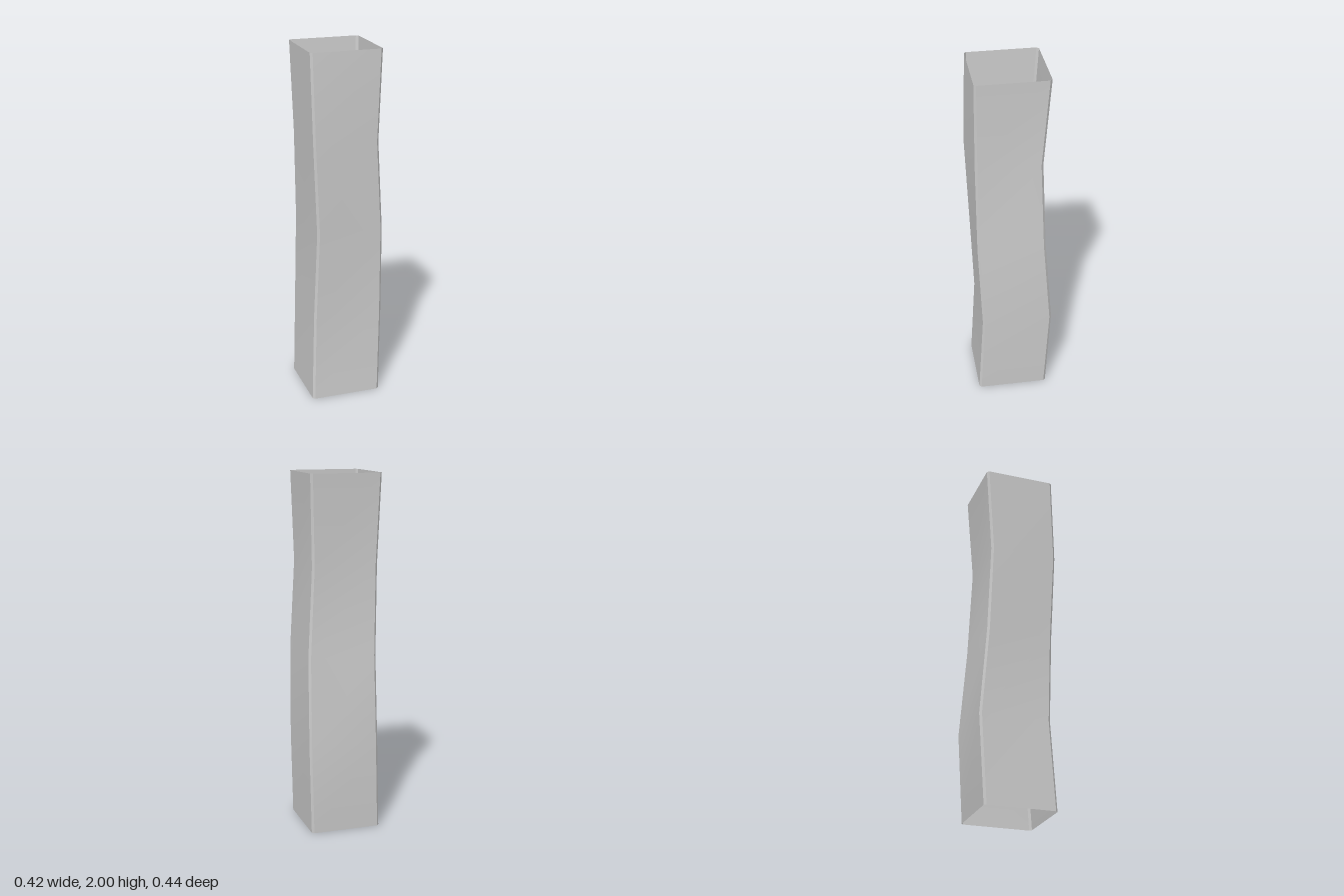
import * as THREE from 'three';
import { toCreasedNormals } from 'three/addons/utils/BufferGeometryUtils.js';

// Ring corners [x, z]: front right-hand side first, counter-clockwise from above
const box = (x0, x1, z0, z1) => [[x0, z1], [x1, z1], [x1, z0], [x0, z0]];
const END = box(-0.21, 0.19, -0.197, 0.203);
const RINGS = [
  END,
  box(-0.19, 0.208, -0.22, 0.178),
  [[-0.175, 0.2], [0.2, 0.2], [0.2, -0.18], [-0.19, -0.18]],
  [[-0.2, 0.22], [0.172, 0.202], [0.172, -0.163], [-0.2, -0.163]],
  END,
];
const BEVEL = 0.012;

// Cut each corner of a ring into two points
function bevelRing(corners) {
  const pts = corners.map(([x, z]) => new THREE.Vector2(x, z));
  return pts.flatMap((p, i) => [pts[(i + 3) % 4], pts[(i + 1) % 4]].map((q) =>
    p.clone().add(q.clone().sub(p).setLength(BEVEL))));
}

export function createModel() {
  const group = new THREE.Group();
  group.name = 'bentSquareTube';

  // Walls lofted through evenly spaced rings, open at both ends
  const positions = [];
  const index = [];
  RINGS.forEach((corners, r) => {
    bevelRing(corners).forEach((p) => positions.push(p.x, r * 0.5, p.y));
    if (r === RINGS.length - 1) return;
    for (let i = 0; i < 8; i++) {
      const a = r * 8 + i;
      const b = r * 8 + (i + 1) % 8;
      index.push(a, b, b + 8, a, b + 8, a + 8);
    }
  });
  const geometry = new THREE.BufferGeometry();
  geometry.setAttribute('position', new THREE.Float32BufferAttribute(positions, 3));
  geometry.setIndex(index);

  const walls = new THREE.Mesh(
    toCreasedNormals(geometry, 0.5),
    new THREE.MeshStandardMaterial({ color: 0xcccccc, side: THREE.DoubleSide }),
  );
  walls.name = 'tubeWalls';
  group.add(walls);
  return group;
}
